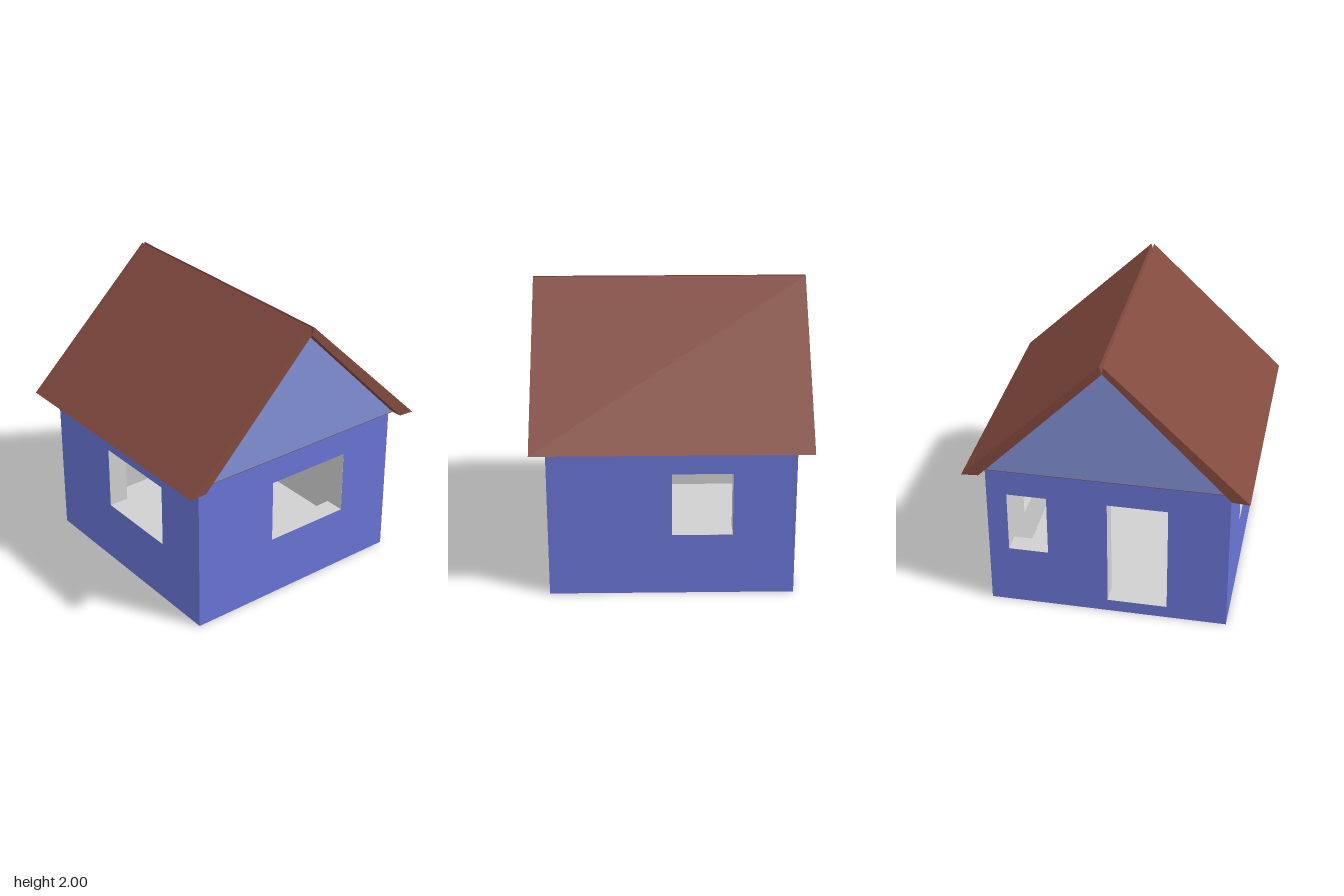
import * as THREE from 'three';

const mat = (name, color) => {
  const m = new THREE.MeshStandardMaterial({ color });
  m.name = name;
  return m;
};

const HALF = 0.83, WALL_H = 1.087, THICK = 0.14, SKIN = 0.001;

// Rectangle outline, optionally with rectangular openings [u0, u1, y0, y1]
function rect(u0, u1, y0, y1, Type = THREE.Shape) {
  return new Type([[u0, y0], [u1, y0], [u1, y1], [u0, y1]].map(p => new THREE.Vector2(...p)));
}
function wallShape(half, openings) {
  const s = rect(-half, half, 0, WALL_H);
  s.holes = openings.map(o => rect(...o, THREE.Path));
  return s;
}

export function createModel() {
  const house = new THREE.Group();
  house.name = 'house';
  const blue = mat('wall blue', 0x6a74d4);
  const paleBlue = mat('gable pale blue', 0x8290d6);
  const brown = mat('roof brown', 0x834a3f);
  const grey = mat('interior grey', 0xd0d0d0);

  const add = (parent, name, geometry, material) => {
    const m = new THREE.Mesh(geometry, material);
    m.name = name;
    parent.add(m);
    return m;
  };

  // Four walls: grey core with openings, painted blue outside
  const walls = [
    ['frontWall', 0, [[-0.21, 0.42, 0.44, 0.89]]],
    ['leftWall', Math.PI / 2, [[0, 0.41, 0.44, 0.89]]],
    ['backWall', Math.PI, [[0, 0.415, 0.09, 0.89], [-0.69, -0.415, 0.44, 0.89]]],
    ['rightWall', -Math.PI / 2, [[-0.21, 0.42, 0.44, 0.89]]],
  ];
  for (const [name, turn, openings] of walls) {
    const wall = new THREE.Group();
    wall.name = name;
    wall.rotation.y = turn;
    const core = new THREE.ExtrudeGeometry(wallShape(HALF - SKIN, openings), { depth: THICK - SKIN, bevelEnabled: false });
    add(wall, name + 'Core', core, grey).position.z = HALF - THICK;
    add(wall, name + 'Paint', new THREE.ShapeGeometry(wallShape(HALF, openings)), blue).position.z = HALF;
    house.add(wall);
  }

  // Floor slab
  const side = 2 * (HALF - SKIN);
  add(house, 'floor', new THREE.BoxGeometry(side, 0.09, side), grey).position.y = 0.045;

  // Ceiling, and the gable prism above it
  add(house, 'ceiling', new THREE.BoxGeometry(1.7, 0.004, 1.7), brown).position.y = 1.088;
  const extrudeZ = (points, half) => new THREE.ExtrudeGeometry(
    new THREE.Shape(points.map(p => new THREE.Vector2(...p))), { depth: 2 * half, bevelEnabled: false }
  ).translate(0, 0, -half);
  add(house, 'gable', extrudeZ([[-0.85, 1.09], [0.85, 1.09], [0, 1.95]], 0.85), paleBlue);

  // Two roof slabs with a narrow gap along the ridge
  for (const s of [-1, 1]) {
    const ridge = s > 0 ? 0.018 : 0.003;
    const profile = [[s * 0.845, 1.092], [s * 0.963, 1.085], [s * ridge, 2], [s * 0.002, 1.947]];
    add(house, s > 0 ? 'leftRoof' : 'rightRoof', extrudeZ(profile, 0.93), brown);
  }
  return house;
}
